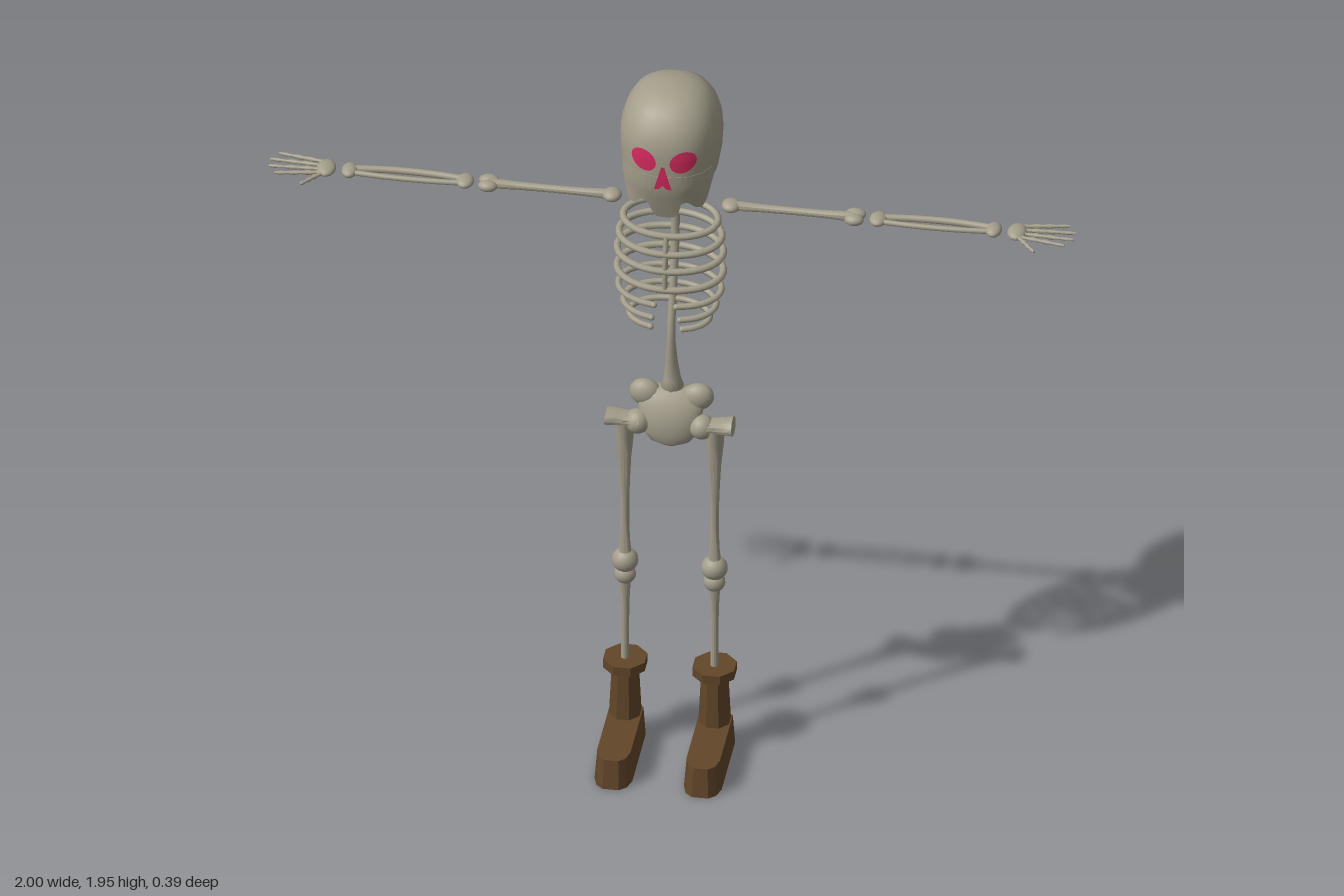
import * as THREE from 'three';
import { toCreasedNormals } from 'three/addons/utils/BufferGeometryUtils.js';

const V = (x, y, z) => new THREE.Vector3(x, y, z);
const POW = 2.3;

// Horizontal rings from rows [y, halfWidth, zBack, zFront], lowest first, capped at both ends
function loft(rows, n = 32, pow = 2) {
  const pos = [], idx = [];
  const bend = (v) => Math.sign(v) * Math.abs(v) ** (2 / pow);
  for (const [y, w, zb, zf] of rows) {
    for (let j = 0; j < n; j++) {
      const t = (j / n) * Math.PI * 2;
      pos.push(w * bend(Math.cos(t)), y, (zb + zf) / 2 + ((zf - zb) / 2) * bend(Math.sin(t)));
    }
  }
  const top = rows.length - 1, c0 = rows.length * n;
  for (const r of [rows[0], rows[top]]) pos.push(0, r[0], (r[2] + r[3]) / 2);
  for (let j = 0; j < n; j++) {
    const k = (j + 1) % n;
    for (let i = 0; i < top; i++) {
      const a = i * n + j, b = i * n + k;
      idx.push(a, a + n, b, b, a + n, b + n);
    }
    idx.push(c0, j, k, c0 + 1, top * n + k, top * n + j);
  }
  const g = new THREE.BufferGeometry();
  g.setAttribute('position', new THREE.Float32BufferAttribute(pos, 3));
  g.setIndex(idx);
  g.computeVertexNormals();
  return g;
}

// Linear lookup of column c in rows sorted by their first value
function lookup(rows, t, c) {
  let i = 0;
  while (i < rows.length - 2 && t > rows[i + 1][0]) i++;
  const a = rows[i], b = rows[i + 1];
  return THREE.MathUtils.lerp(a[c], b[c], THREE.MathUtils.clamp((t - a[0]) / (b[0] - a[0]), 0, 1));
}

const CRANIUM = [
  [1.69, 0.08, -0.14, 0.05], [1.70, 0.103, -0.168, 0.068], [1.72, 0.115, -0.185, 0.077],
  [1.76, 0.122, -0.193, 0.08], [1.81, 0.125, -0.195, 0.08], [1.85, 0.122, -0.192, 0.076],
  [1.885, 0.111, -0.182, 0.06], [1.912, 0.094, -0.165, 0.037], [1.93, 0.072, -0.14, 0.012],
  [1.941, 0.045, -0.11, -0.02], [1.945, 0.015, -0.08, -0.05],
];
const FACE = [[1.62, 0.12, -0.1, 0.05], [1.69, 0.12, -0.18, 0.07], [1.72, 0.121, -0.187, 0.078], ...CRANIUM.slice(3)];
const JAW = [[0, 1.621], [0.022, 1.622], [0.032, 1.64], [0.042, 1.672], [0.058, 1.675], [0.075, 1.655],
  [0.09, 1.65], [0.1, 1.668], [0.112, 1.72]];

// Depth of the front of the head at a given x and y
function faceZ(x, y) {
  const w = lookup(FACE, y, 1), zb = lookup(FACE, y, 2), zf = lookup(FACE, y, 3);
  const k = Math.max(0, 1 - Math.min(1, Math.abs(x) / w) ** POW) ** (1 / POW);
  return (zb + zf) / 2 + ((zf - zb) / 2) * k;
}

// Moves every vertex of a geometry by a rule
function reshape(g, rule) {
  const p = g.attributes.position, v = new THREE.Vector3();
  for (let i = 0; i < p.count; i++) {
    rule(v.fromBufferAttribute(p, i));
    p.setXYZ(i, v.x, v.y, v.z);
  }
  g.computeVertexNormals();
  return g;
}

export function createModel() {
  const model = new THREE.Group();
  model.name = 'skeleton';
  const mat = (name, color, extra) => Object.assign(new THREE.MeshStandardMaterial({ color }), { name }, extra);
  const bone = mat('bone', 0xa39d8a);
  const glow = mat('socketPink', 0xd42a5e);
  const leather = mat('bootBrown', 0x624629, { flatShading: true });

  const add = (name, geometry, material = bone, parent = model) => {
    const m = new THREE.Mesh(geometry, material);
    m.name = name;
    parent.add(m);
    return m;
  };
  const knob = (name, p, rx, ry = rx, rz = rx, parent = model) => {
    const m = add(name, new THREE.SphereGeometry(1, 16, 12), bone, parent);
    m.position.copy(p);
    m.scale.set(rx, ry, rz);
    return m;
  };
  // Lathed bone from a to b; radii are spread evenly along it
  const shaft = (name, a, b, radii, parent = model, flatten = 1) => {
    const d = b.clone().sub(a), len = d.length(), last = radii.length - 1;
    const pts = [new THREE.Vector2(0, 0), ...radii.map((r, i) => new THREE.Vector2(r, (i / last) * len)), new THREE.Vector2(0, len)];
    const m = add(name, toCreasedNormals(new THREE.LatheGeometry(pts, 12), 0.9), bone, parent);
    m.position.copy(a);
    m.quaternion.setFromUnitVectors(V(0, 1, 0), d.normalize());
    m.scale.z = flatten;
    return m;
  };
  const tube = (name, pts, r, parent, closed = false) =>
    add(name, new THREE.TubeGeometry(new THREE.CatmullRomCurve3(pts, closed), 40, r, 8, closed), bone, parent);

  // Skull: cranium, and a curved face plate with cheek points and a narrow jaw
  const skull = new THREE.Group();
  skull.name = 'skull';
  model.add(skull);
  add('cranium', loft(CRANIUM, 40, POW), bone, skull);
  const plate = reshape(new THREE.BoxGeometry(2, 1, 1, 40, 6, 1), (v) => {
    const x = v.x * 0.112, lo = lookup(JAW, Math.abs(x), 1);
    const y = THREE.MathUtils.lerp(lo, 1.76, v.y + 0.5);
    v.set(x, y, faceZ(x, y) + 0.001 - (0.5 - v.z) * 0.036);
  });
  add('faceAndJaw', toCreasedNormals(plate, 0.8), bone, skull);

  // Eye and nose sockets lie just above the face
  for (const s of [1, -1]) {
    add(s > 0 ? 'leftEye' : 'rightEye', reshape(new THREE.RingGeometry(0.001, 1, 20, 4), (v) => {
      const x = s * 0.049 + v.x * 0.032, y = 1.805 + v.y * 0.03 + v.x * s * 0.004;
      v.set(x, y, faceZ(x, y) + 0.004);
    }), glow, skull);
  }
  add('noseSocket', reshape(new THREE.PlaneGeometry(1, 1, 4, 6), (v) => {
    const t = v.y + 0.5, x = v.x * (0.044 - 0.036 * t);
    const y = 1.725 + 0.067 * t + (1 - t) * 0.012 * (1 - Math.abs(v.x) * 4) * (Math.abs(v.x) < 0.25 ? 1 : 0);
    v.set(x, y, faceZ(x, y) + 0.005);
  }), glow, skull);

  // Spine, widening into the pelvis
  const spine = [[1.02, -0.068, 0.034], [1.06, -0.066, 0.022], [1.12, -0.055, 0.015], [1.19, -0.045, 0.011],
    [1.26, -0.055, 0.01], [1.33, -0.078, 0.01], [1.42, -0.1, 0.011], [1.5, -0.112, 0.011], [1.58, -0.108, 0.011],
    [1.64, -0.092, 0.011], [1.71, -0.08, 0.013]];
  add('spine', loft(spine.map(([y, z, r]) => [y, r, z - r, z + r]), 12));

  // Ribs: [y, halfWidth, zBack, zFront]; the lowest three stay open in front
  const cage = new THREE.Group();
  cage.name = 'ribCage';
  model.add(cage);
  const ribs = [[1.56, 0.118, -0.105, 0.028], [1.515, 0.128, -0.113, 0.042], [1.47, 0.132, -0.115, 0.05],
    [1.415, 0.132, -0.112, 0.05], [1.365, 0.128, -0.1, 0.048], [1.32, 0.115, -0.09, 0.04], [1.285, 0.1, -0.07, 0.03]];
  ribs.forEach(([y, w, zb, zf], i) => {
    const zc = (zb + zf) / 2, d = (zf - zb) / 2, tilt = 0.013;
    const at = (t) => V(w * Math.sin(t), y + tilt * Math.cos(t), zc - d * Math.cos(t));
    if (i < 4) {
      tube('rib', Array.from({ length: 16 }, (_, k) => at((k / 16) * Math.PI * 2)), 0.009, cage, true);
      return;
    }
    for (const s of [1, -1]) {
      const end = Math.PI * (0.93 - (i - 4) * 0.03);
      tube('openRib', Array.from({ length: 9 }, (_, k) => at(s * (k / 8) * end)), 0.008, cage);
      knob('ribTip', at(s * end), 0.008, 0.008, 0.008, cage);
    }
  });
  tube('breastbone', [V(0, 1.55, 0.03), V(0, 1.5, 0.043), V(0, 1.45, 0.05), V(0, 1.4, 0.05)], 0.007, cage);

  // Pelvis with two hip wings
  add('pelvis', loft([[0.895, 0.025, -0.04, -0.012], [0.905, 0.05, -0.052, -0.004], [0.93, 0.07, -0.06, 0],
    [0.965, 0.076, -0.068, 0], [1.0, 0.082, -0.077, -0.012], [1.025, 0.076, -0.083, -0.028], [1.038, 0.05, -0.08, -0.04]], 28));

  for (const s of [1, -1]) {
    const side = s > 0 ? 'left' : 'right';
    const wing = knob(side + 'HipWing', V(s * 0.065, 1.02, -0.055), 0.041, 0.036, 0.027);
    wing.rotation.z = s * 0.35;

    // Arm, stretched straight out
    const arm = new THREE.Group();
    arm.name = side + 'Arm';
    model.add(arm);
    const P = (x, z = -0.055, y = 1.6) => V(s * x, y, z);
    knob('shoulderBall', P(0.148), 0.024, 0.015, 0.026, arm);
    shaft('upperArm', P(0.15), P(0.455), [0.013, 0.01, 0.0095, 0.01, 0.013], arm);
    knob('elbowOuter', P(0.455, -0.068), 0.026, 0.014, 0.018, arm);
    knob('elbowInner', P(0.455, -0.042), 0.024, 0.014, 0.018, arm);
    for (const [x, r] of [[0.513, 0.022], [0.8, 0.02]]) knob('forearmEnd', P(x), r, 0.013, 0.029, arm);
    tube('forearmBackBone', [P(0.51, -0.062), P(0.6, -0.071), P(0.7, -0.072), P(0.805, -0.062)], 0.009, arm);
    tube('forearmFrontBone', [P(0.51, -0.045), P(0.6, -0.04), P(0.7, -0.04), P(0.805, -0.047)], 0.007, arm);

    // Hand: wrist bones, four fingers and a thumb
    knob('wrist', P(0.858), 0.024, 0.013, 0.034, arm);
    const fingers = [[-0.08, 0.982, -0.102], [-0.064, 1, -0.074], [-0.048, 1, -0.045], [-0.034, 0.982, -0.017], [-0.028, 0.912, 0.022]];
    for (const [z0, x1, z1] of fingers) {
      const a = P(0.868, z0), b = P(x1, z1, 1.598);
      shaft('finger', a, b, [0.006, 0.004, 0.0065, 0.004, 0.006, 0.0035, 0.005, 0.003], arm);
    }

    // Leg
    const leg = new THREE.Group();
    leg.name = side + 'Leg';
    model.add(leg);
    const Q = (x, y, z = -0.025) => V(s * x, y, z);
    knob('hipBall', Q(0.08, 0.952), 0.032, 0.032, 0.032, leg);
    shaft('hipNeck', Q(0.158, 0.962), Q(0.075, 0.955), [0.022, 0.019, 0.017, 0.022], leg, 1.5);
    shaft('thighBone', Q(0.112, 0.965), Q(0.111, 0.54), [0.026, 0.022, 0.016, 0.013, 0.011, 0.011, 0.012, 0.018], leg);
    knob('kneeTop', Q(0.111, 0.535), 0.033, 0.032, 0.031, leg);
    knob('kneeBottom', Q(0.111, 0.493), 0.027, 0.026, 0.024, leg);
    shaft('shinBone', Q(0.111, 0.49), Q(0.111, 0.2), [0.015, 0.011, 0.01, 0.01, 0.011], leg);

    // Boot: octagonal shaft and cuff, long foot with a cut-off toe
    const boot = new THREE.Group();
    boot.name = side + 'Boot';
    boot.position.set(s * 0.111, 0, -0.027);
    model.add(boot);
    const octagon = (name, r0, r1, h, y) => {
      const m = add(name, new THREE.CylinderGeometry(r1, r0, h, 8).rotateY(Math.PI / 8), leather, boot);
      m.position.y = y;
    };
    octagon('bootShaft', 0.045, 0.034, 0.225, 0.1125);
    octagon('bootCuff', 0.056, 0.056, 0.025, 0.232);
    const sole = new THREE.Shape([[-0.03, -0.043], [0.03, -0.043], [0.047, -0.025], [0.047, 0.18], [0.038, 0.21],
      [0.02, 0.225], [-0.02, 0.225], [-0.038, 0.21], [-0.047, 0.18], [-0.047, -0.025]].map(([x, z]) => new THREE.Vector2(x, -z)));
    const foot = new THREE.ExtrudeGeometry(sole, { depth: 0.08, bevelEnabled: false }).rotateX(-Math.PI / 2);
    add('foot', reshape(foot, (v) => {
      if (v.y > 0.04) v.set(v.x * 0.88, v.y, v.z * 0.96);
    }), leather, boot);
  }
  return model;
}
